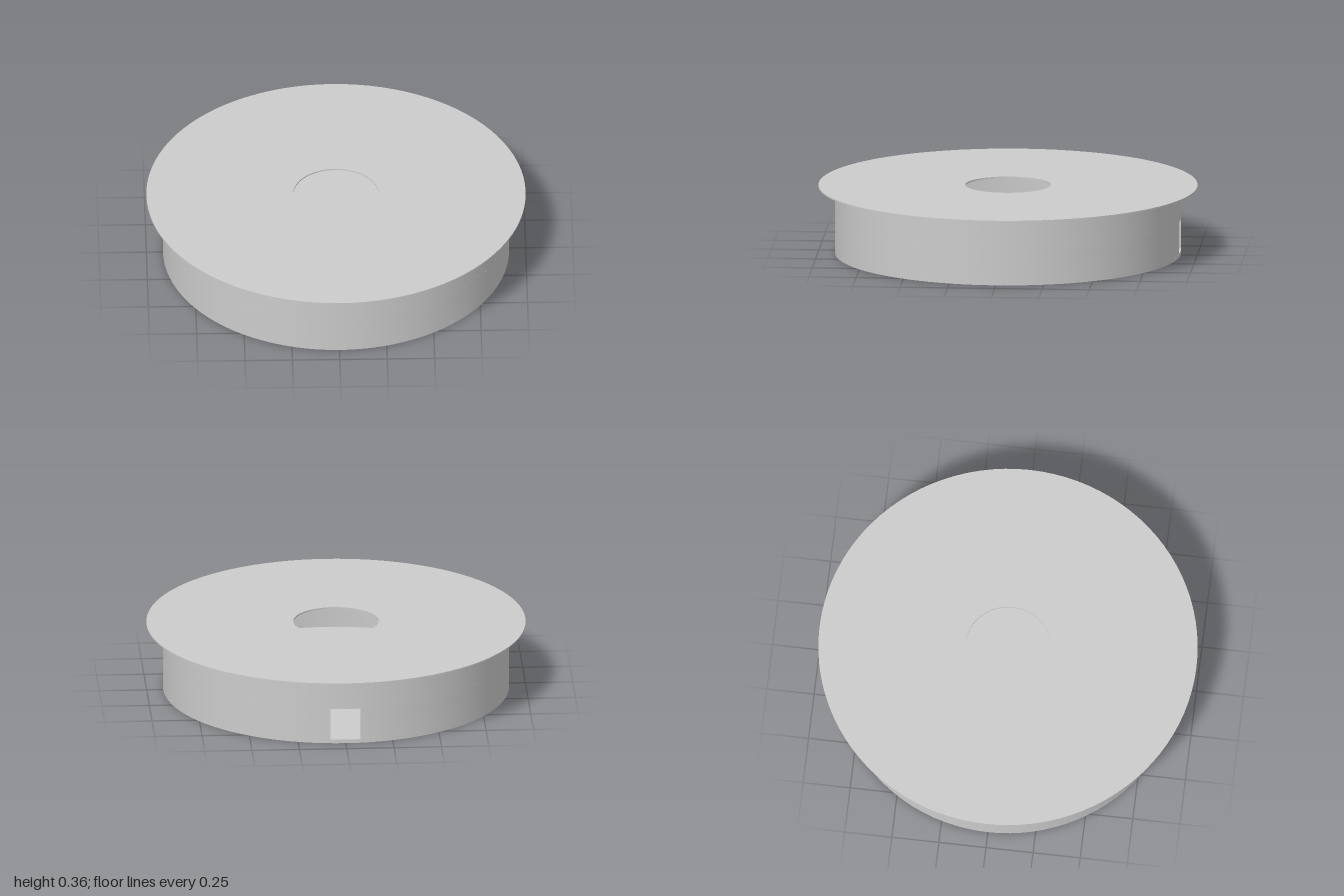
import * as THREE from 'three';
import { toCreasedNormals } from 'three/addons/utils/BufferGeometryUtils.js';

const WALL_R = 0.913, WALL_T = 0.01;
const material = new THREE.MeshStandardMaterial({ color: 0xcccccc });

// Extrudes a flat plan upwards from y0 to y1; plan +y becomes the back (-z)
function slab(name, shape, y0, y1) {
  const geometry = new THREE.ExtrudeGeometry(shape, { depth: y1 - y0, bevelEnabled: false, curveSegments: 48 });
  geometry.rotateX(-Math.PI / 2);
  geometry.translate(0, y0, 0);
  const mesh = new THREE.Mesh(toCreasedNormals(geometry, 0.5), material);
  mesh.name = name;
  return mesh;
}

function disc(outer, inner = 0) {
  const shape = new THREE.Shape().absarc(0, 0, outer, 0, Math.PI * 2, false);
  if (inner > 0) shape.holes.push(new THREE.Path().absarc(0, 0, inner, 0, Math.PI * 2, true));
  return shape;
}

// Ring left open at the back over a given half angle
function openRing(outer, inner, halfGap) {
  const start = Math.PI / 2 + halfGap, end = Math.PI * 2.5 - halfGap;
  const shape = new THREE.Shape();
  shape.absarc(0, 0, outer, start, end, false);
  shape.absarc(0, 0, inner, end, start, true);
  shape.closePath();
  return shape;
}

export function createModel() {
  const model = new THREE.Group();
  model.name = 'hollowDrum';
  const plateY = 0.357, windowLow = 0.02, windowHigh = 0.19;
  const inner = WALL_R - WALL_T;

  // Side wall in three bands, the middle one leaving the back window
  const wall = new THREE.Group();
  wall.name = 'sideWall';
  wall.add(
    slab('lowerWall', disc(WALL_R, inner), 0, windowLow),
    slab('windowWall', openRing(WALL_R, inner, Math.asin(0.08 / WALL_R)), windowLow, windowHigh),
    slab('upperWall', disc(WALL_R, inner), windowHigh, plateY)
  );
  model.add(wall);

  // Floor set slightly above the lower rim
  model.add(slab('floor', disc(inner + 0.002), 0.01, 0.018));

  // Thin overhanging top plate with a central hole
  model.add(slab('topPlate', disc(1, 0.225), plateY, 0.364));
  return model;
}
